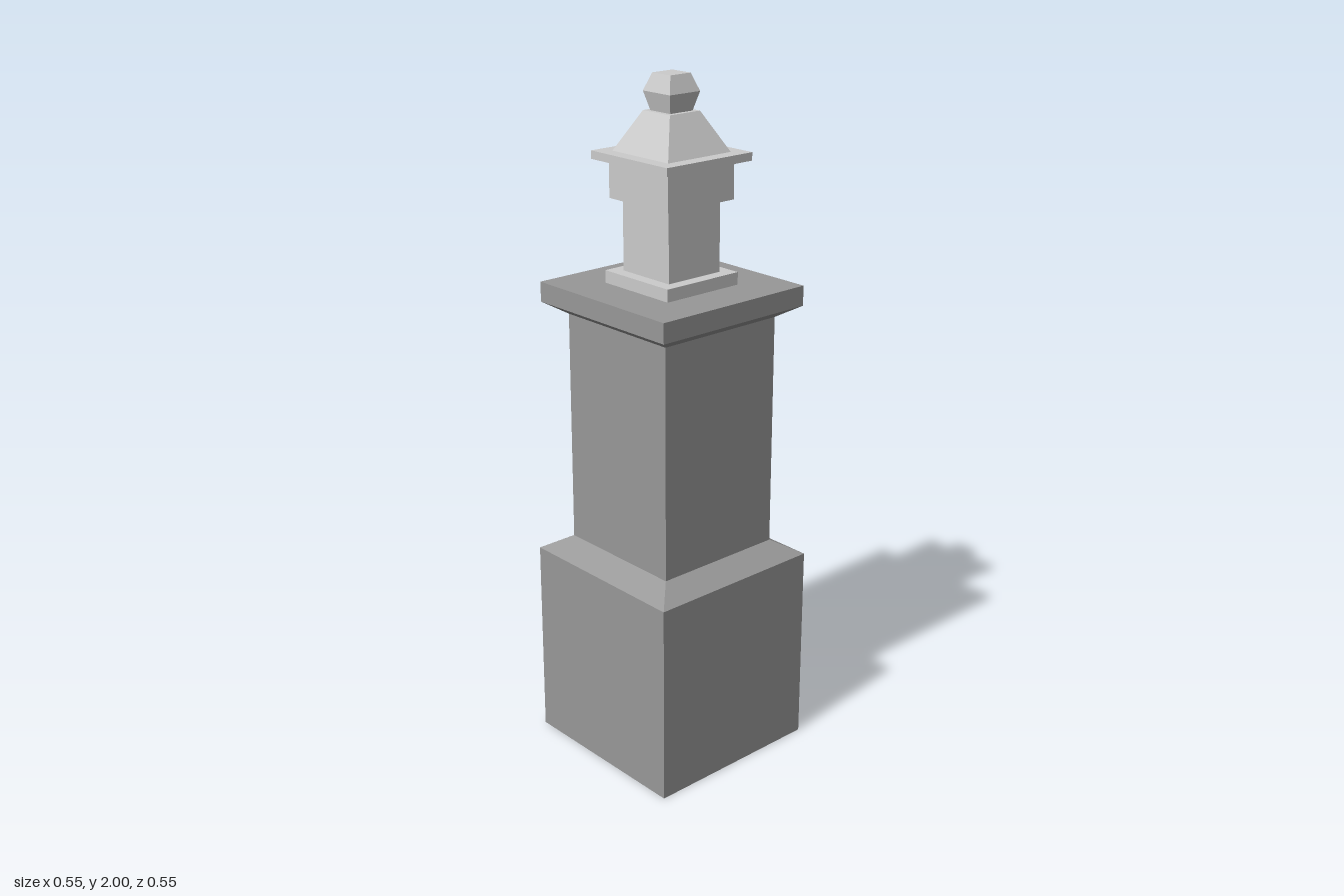
import * as THREE from 'three';

const dark = new THREE.MeshStandardMaterial({ color: 0x989898, flatShading: true });
const light = new THREE.MeshStandardMaterial({ color: 0xcccccc, flatShading: true });

// Square solid swept from a profile of [half width, height], bottom to top, capped at both ends
function squareTurned(name, material, profile) {
  const points = [[0, profile[0][1]], ...profile, [0, profile[profile.length - 1][1]]]
    .map(([half, y]) => new THREE.Vector2(half * Math.SQRT2, y));
  const geometry = new THREE.LatheGeometry(points, 4).rotateY(Math.PI / 4);
  const mesh = new THREE.Mesh(geometry, material);
  mesh.name = name;
  return mesh;
}

export function createModel() {
  const model = new THREE.Group();
  model.name = 'pillar';
  model.add(
    // Pillar: block base with sloped shoulder, shaft, flared cap
    squareTurned('base', dark, [[0.277, 0], [0.277, 0.6], [0.204, 0.643]]),
    squareTurned('shaft', dark, [[0.204, 0.643], [0.204, 1.328]]),
    squareTurned('cap', dark, [[0.204, 1.328], [0.259, 1.362], [0.259, 1.42]]),
    // Lantern: foot, post, head, eave, sloped roof, faceted finial
    squareTurned('lanternFoot', light, [[0.13, 1.42], [0.13, 1.456]]),
    squareTurned('lanternPost', light, [[0.094, 1.456], [0.094, 1.66]]),
    squareTurned('lanternHead', light, [[0.12, 1.66], [0.12, 1.767]]),
    squareTurned('eave', light, [[0.154, 1.767], [0.154, 1.79]]),
    squareTurned('roof', light, [[0.113, 1.79], [0.054, 1.9]]),
    squareTurned('finial', light, [[0.04, 1.9], [0.054, 1.952], [0.036, 2]]),
  );
  return model;
}
